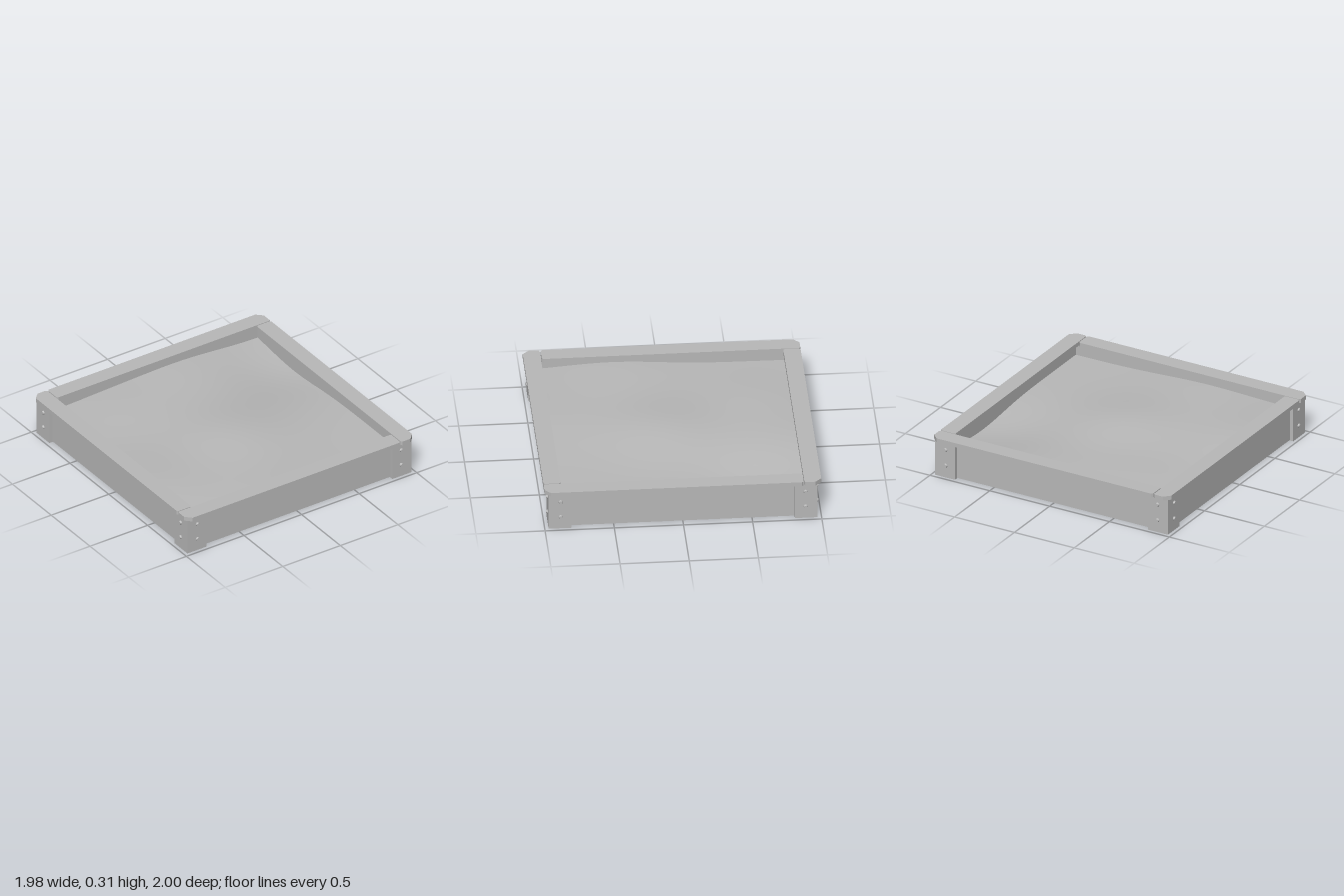
import * as THREE from 'three';

const TOP = 0.31;        // top of the seat planks
const RIM = 0.278;       // underside of the seat planks
const POST = 0.972;      // outer face of the corner brackets
const BOARD = 0.945;     // outer face of the side boards

// Extrudes a plan outline of [x, z] points down from height top
function slab(points, top, thickness) {
  const shape = new THREE.Shape(points.map(([x, z]) => new THREE.Vector2(x, z)));
  const geo = new THREE.ExtrudeGeometry(shape, { depth: thickness, bevelEnabled: false });
  return geo.rotateX(Math.PI / 2).translate(0, top, 0);
}

// Soft mounds and hollows: x, z, height, spread
const dunes = [
  [0.0, 0.1, 0.05, 0.3],
  [-0.9, 0.35, 0.045, 0.35],
  [0.2, -0.9, 0.035, 0.4],
  [0.8, -0.45, -0.05, 0.3],
  [-0.45, -0.6, 0.015, 0.25],
  [-0.2, 0.9, 0.03, 0.35],
];

function sandHeight(x, z) {
  let y = 0.195;
  for (const [cx, cz, h, s] of dunes) {
    y += h * Math.exp(-((x - cx) ** 2 + (z - cz) ** 2) / (2 * s * s));
  }
  return y;
}

export function createModel() {
  const model = new THREE.Group();
  model.name = 'sandbox';
  const grey = new THREE.MeshStandardMaterial({ color: 0xb8b8b8 });
  grey.name = 'plain grey';

  const add = (parent, name, geo) => {
    const mesh = new THREE.Mesh(geo, grey);
    mesh.name = name;
    parent.add(mesh);
    return mesh;
  };

  // Shared geometry for the four matching sides
  const plankGeo = slab([
    [-0.989, 0.875], [0.857, 0.875], [0.868, 0.886], [0.868, 0.989], [0.857, 1],
    [-0.955, 1], [-1, 0.955], [-1, 0.886],
  ], TOP, TOP - RIM);
  const boardGeo = new THREE.BoxGeometry(2 * BOARD, RIM - 0.006, 0.05)
    .translate(0, (RIM + 0.006) / 2, BOARD - 0.025);
  const inner = POST - 0.165;
  const bracketGeo = slab([
    [inner, POST], [POST, POST], [POST, inner],
    [BOARD - 0.01, inner], [BOARD - 0.01, BOARD - 0.01], [inner, BOARD - 0.01],
  ], RIM, RIM);
  const boltGeo = new THREE.CylinderGeometry(0.011, 0.016, 0.012, 12).rotateX(Math.PI / 2);

  // Seat planks butt against each other in a pinwheel
  const seat = new THREE.Group();
  seat.name = 'seatRim';
  seat.scale.x = 0.99;
  model.add(seat);

  const sides = ['front', 'right', 'back', 'left'];
  sides.forEach((side, i) => {
    const turn = i * Math.PI / 2;
    add(seat, side + 'SeatPlank', plankGeo).rotation.y = turn;

    const wall = new THREE.Group();
    wall.name = side + 'Wall';
    wall.rotation.y = turn;
    model.add(wall);
    add(wall, side + 'Board', boardGeo);
    add(wall, 'cornerBracket', bracketGeo);
    for (const x of [-0.885, 0.885]) {
      for (const y of [0.095, 0.22]) {
        add(wall, 'bolt', boltGeo).position.set(x, y, POST + 0.005);
      }
    }
  });

  // Floor panel
  add(model, 'floor', new THREE.BoxGeometry(2 * BOARD, 0.02, 2 * BOARD).translate(0, 0.015, 0));

  // Sand surface, gently uneven
  const sand = new THREE.PlaneGeometry(1.8, 1.8, 48, 48).rotateX(-Math.PI / 2);
  const pos = sand.attributes.position;
  for (let i = 0; i < pos.count; i++) pos.setY(i, sandHeight(pos.getX(i), pos.getZ(i)));
  sand.computeVertexNormals();
  add(model, 'sand', sand);

  return model;
}
